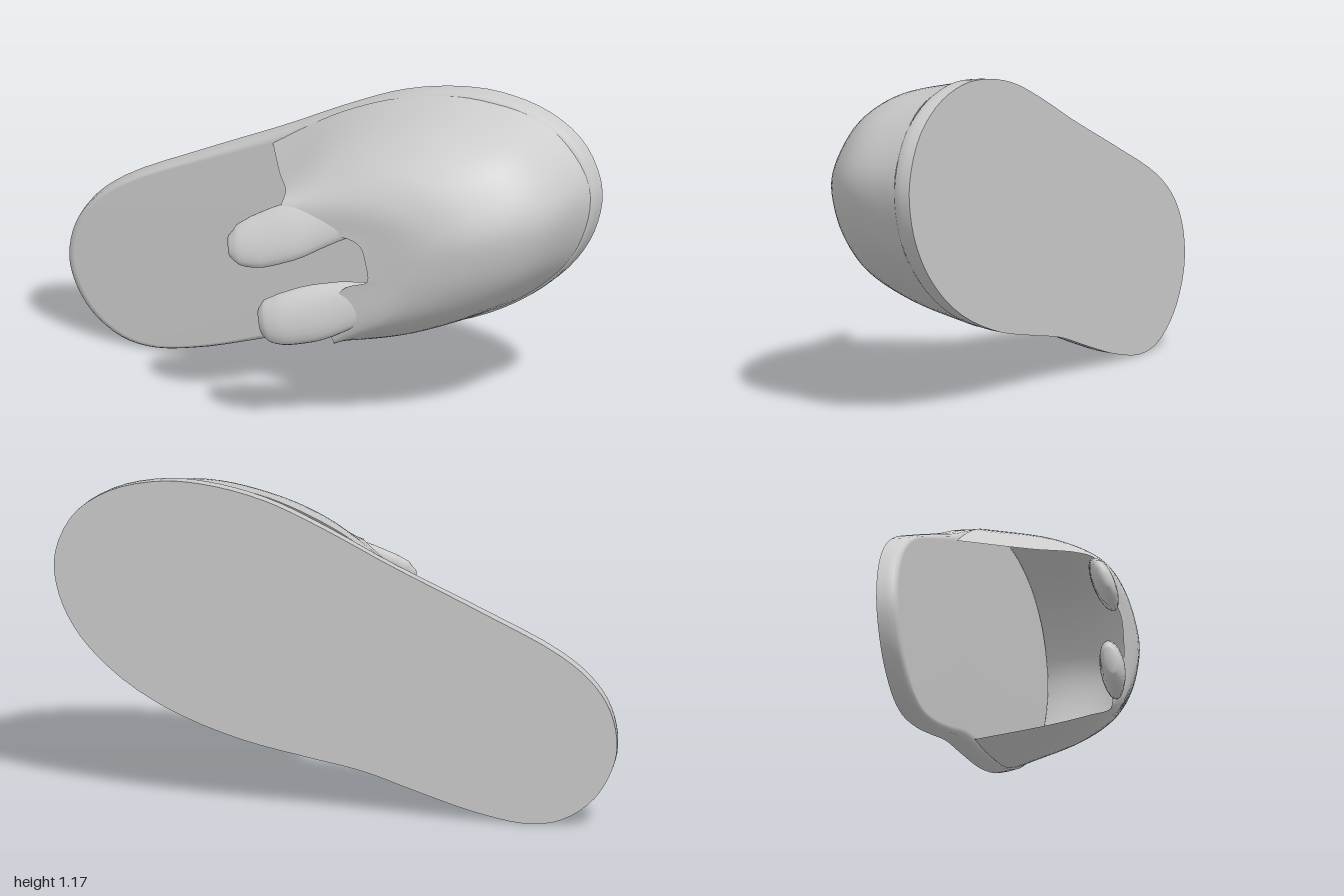
import * as THREE from 'three';

const material = new THREE.MeshStandardMaterial({ color: 0xcccccc, roughness: 0.8, side: THREE.DoubleSide });
const vec = (x, y, z) => new THREE.Vector3(x, y, z);

// Skin a list of equally long rows of points; closed rows wrap around.
function loft(name, rows, closed) {
  const n = rows[0].length, index = [];
  for (let j = 0; j < rows.length - 1; j++) {
    for (let i = 0; i < (closed ? n : n - 1); i++) {
      const k = (i + 1) % n;
      const a = j * n + i, b = j * n + k, c = a + n, d = b + n;
      index.push(a, c, b, b, c, d);
    }
  }
  const geometry = new THREE.BufferGeometry().setFromPoints(rows.flat());
  geometry.setIndex(index);
  geometry.computeVertexNormals();
  const mesh = new THREE.Mesh(geometry, material);
  mesh.name = name;
  return mesh;
}

// Flat sole: one clockwise outline repeated at a few depths, with sharp back edge.
function makeSole() {
  const outline = [
    [-1, 0.3], [-0.98, 0.42], [-0.92, 0.52], [-0.8, 0.62], [-0.5, 0.77], [-0.2, 0.91],
    [0.05, 1.035], [0.25, 1.12], [0.45, 1.165], [0.62, 1.17], [0.8, 1.125], [0.93, 1.03],
    [0.995, 0.88], [0.98, 0.74], [0.91, 0.6], [0.78, 0.465], [0.6, 0.35], [0.35, 0.255],
    [0.1, 0.2], [-0.1, 0.16], [-0.3, 0.095], [-0.5, 0.035], [-0.68, 0.005], [-0.8, 0.025],
    [-0.91, 0.1], [-0.975, 0.2],
  ].map(([x, y]) => vec(x, y, 0));
  const points = new THREE.CatmullRomCurve3(outline, true).getPoints(96).slice(0, 96);
  const center = vec(0, 0.59, 0);
  const ring = (inset, z) => points.map((p) => {
    const away = p.clone().sub(center);
    away.setLength(Math.max(away.length() - inset, 0));
    return away.add(center).setZ(z);
  });
  return loft('sole', [
    ring(9, -0.308), ring(0, -0.308), ring(0, -0.308), ring(0.003, -0.275),
    ring(0.008, -0.25), ring(0.018, -0.24), ring(0.035, -0.235), ring(9, -0.235),
  ], true);
}

// Toe cover: contours from the sole up to the notched edge of the opening.
function makeUpper() {
  const contours = [
    [-0.24, [-0.22, 0.865], [0.05, 1.03], [0.3, 1.125], [0.57, 1.157], [0.83, 1.095], [0.975, 0.9],
      [0.93, 0.66], [0.75, 0.46], [0.45, 0.295], [0.25, 0.245], [0.02, 0.21]],
    [0.0, [-0.09, 0.86], [0.1, 0.985], [0.3, 1.06], [0.53, 1.09], [0.76, 1.03], [0.89, 0.86],
      [0.84, 0.66], [0.68, 0.49], [0.42, 0.35], [0.28, 0.305], [0.12, 0.28]],
    [0.14, [-0.01, 0.865], [0.13, 0.925], [0.3, 0.98], [0.47, 0.99], [0.63, 0.94], [0.74, 0.82],
      [0.7, 0.67], [0.57, 0.52], [0.4, 0.41], [0.28, 0.36], [0.17, 0.325]],
    [0.203, [0, 0.84], [0.12, 0.86], [0.28, 0.89], [0.42, 0.88], [0.51, 0.84], [0.57, 0.77],
      [0.54, 0.67], [0.47, 0.57], [0.38, 0.47], [0.27, 0.4], [0.2, 0.355]],
    [0.215, [-0.01, 0.77], [0.05, 0.72], [0.15, 0.735], [0.23, 0.762], [0.3, 0.74], [0.325, 0.67],
      [0.33, 0.61], [0.3, 0.595], [0.25, 0.575], [0.19, 0.5], [0.18, 0.4]],
  ];
  const across = 60, up = 24;
  const coarse = contours.map(([z, ...pts]) => {
    const curve = new THREE.CatmullRomCurve3(pts.map(([x, y]) => vec(x, y, z)));
    return Array.from({ length: across + 1 }, (_, i) => curve.getPoint(i / across));
  });
  const columns = coarse[0].map((_, i) =>
    new THREE.CatmullRomCurve3(coarse.map((row) => row[i])));
  const rows = Array.from({ length: up + 1 }, (_, j) => columns.map((c) => c.getPoint(j / up)));
  return loft('upper', rows, false);
}

// Flattened finger-like tab; each station is [x, y, z, half width, half thickness].
function makeTab(name, stations, tilt) {
  const sides = 20;
  const centers = new THREE.CatmullRomCurve3(stations.map(([x, y, z]) => vec(x, y, z)));
  const sizes = new THREE.CatmullRomCurve3(stations.map((s) => vec(s[3], s[4], 0)));
  const rows = [];
  for (let j = 0; j <= 20; j++) {
    const t = j / 20, c = centers.getPoint(t), size = sizes.getPoint(t);
    const along = centers.getTangent(t);
    const wide = vec(0, Math.cos(tilt), -Math.sin(tilt));
    wide.addScaledVector(along, -wide.dot(along)).normalize();
    const thick = wide.clone().cross(along).normalize();
    rows.push(Array.from({ length: sides }, (_, i) => {
      const a = (i / sides) * Math.PI * 2;
      return c.clone().addScaledVector(wide, Math.cos(a) * size.x)
        .addScaledVector(thick, -Math.sin(a) * size.y);
    }));
  }
  rows.push(rows.at(-1).map(() => centers.getPoint(1)));
  return loft(name, rows, true);
}

export function createModel() {
  const group = new THREE.Group();
  group.name = 'slipper';
  group.add(makeSole(), makeUpper());
  group.add(makeTab('upperTab', [
    [0.3, 0.83, 0.165, 0.05, 0.02], [0.15, 0.795, 0.19, 0.085, 0.03], [0.03, 0.75, 0.225, 0.1, 0.036],
    [-0.07, 0.71, 0.255, 0.092, 0.036], [-0.13, 0.695, 0.272, 0.072, 0.03], [-0.165, 0.69, 0.28, 0.035, 0.015],
  ], 0.4));
  group.add(makeTab('lowerTab', [
    [0.36, 0.54, 0.165, 0.05, 0.02], [0.24, 0.5, 0.195, 0.085, 0.03], [0.12, 0.46, 0.23, 0.1, 0.04],
    [0.03, 0.435, 0.258, 0.092, 0.042], [-0.025, 0.425, 0.268, 0.075, 0.036], [-0.05, 0.42, 0.272, 0.045, 0.02],
  ], 0.2));
  return group;
}
